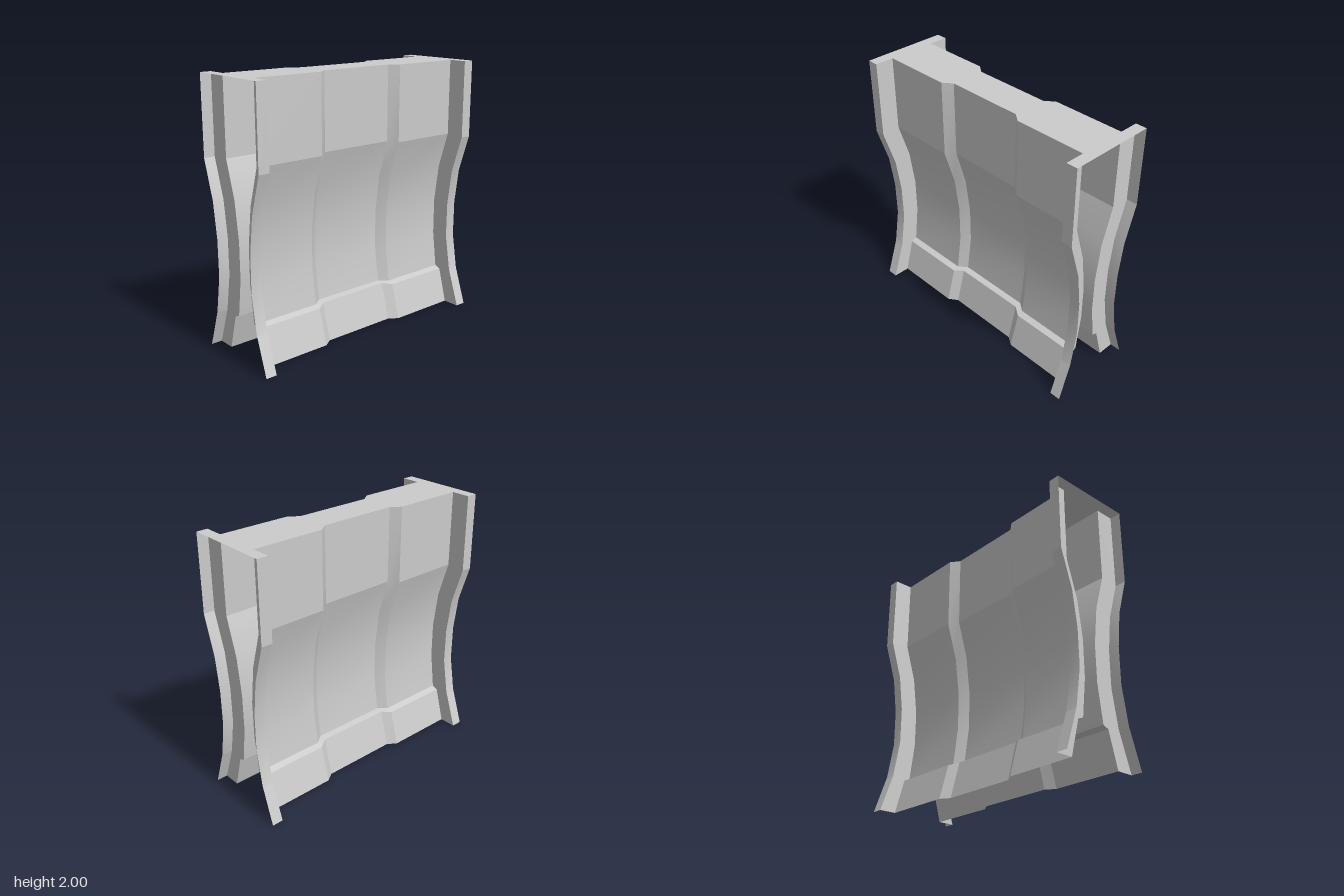
import * as THREE from 'three';
import { toCreasedNormals } from 'three/addons/utils/BufferGeometryUtils.js';

// Vertical profiles as [z, y], top to bottom, same number of rows in each
const flange = [[0.33, 2], [0.33, 1.41], [0.24, 1.12], [0.205, 0.85], [0.203, 0.57], [0.25, 0.29], [0.257, 0.27], [0.35, 0]];
const panel = [[0.183, 2], [0.183, 1.42], [0.098, 1.14], [0.06, 0.85], [0.06, 0.57], [0.097, 0.285], [0.143, 0.267], [0.217, 0]];
const recess = [[0.13, 2], [0.13, 1.43], [0.048, 1.15], [0.01, 0.85], [0.01, 0.57], [0.048, 0.29], [0.096, 0.28], [0.17, 0]];

// Columns across the width, left half mirrored from the right half
const half = [[0.3, recess], [0.37, panel], [0.915, panel], [0.915, flange], [1, flange]];
const columns = [...half.map(([x, p]) => [-x, p]).reverse(), ...half];

// One thin pressed sheet facing +z
function sheetGeometry() {
  const positions = [], index = [], rows = flange.length;
  for (const [x, profile] of columns) {
    for (const [z, y] of profile) positions.push(x, y, z);
  }
  for (let c = 0; c < columns.length - 1; c++) {
    for (let r = 0; r < rows - 1; r++) {
      const a = c * rows + r, b = a + rows;
      index.push(a, a + 1, b, b, a + 1, b + 1);
    }
  }
  const geometry = new THREE.BufferGeometry();
  geometry.setAttribute('position', new THREE.Float32BufferAttribute(positions, 3));
  geometry.setIndex(index);
  return toCreasedNormals(geometry, THREE.MathUtils.degToRad(15));
}

export function createModel() {
  const group = new THREE.Group();
  group.name = 'pressedPanelWall';
  const material = new THREE.MeshStandardMaterial({ color: 0xcccccc, side: THREE.DoubleSide });

  // Front and back sheets
  const sheet = sheetGeometry();
  const front = new THREE.Mesh(sheet, material);
  front.name = 'frontSheet';
  const back = new THREE.Mesh(sheet, material);
  back.name = 'backSheet';
  back.rotation.y = Math.PI;

  // Flat cap following the top edges of both sheets
  const edge = columns.map(([x, p]) => new THREE.Vector2(x, -p[0][0]));
  const outline = [...edge, ...edge.map((v) => new THREE.Vector2(v.x, -v.y)).reverse()];
  const cap = new THREE.Mesh(new THREE.ShapeGeometry(new THREE.Shape(outline)), material);
  cap.name = 'topCap';
  cap.rotation.x = -Math.PI / 2;
  cap.position.y = 2;

  group.add(front, back, cap);
  return group;
}
